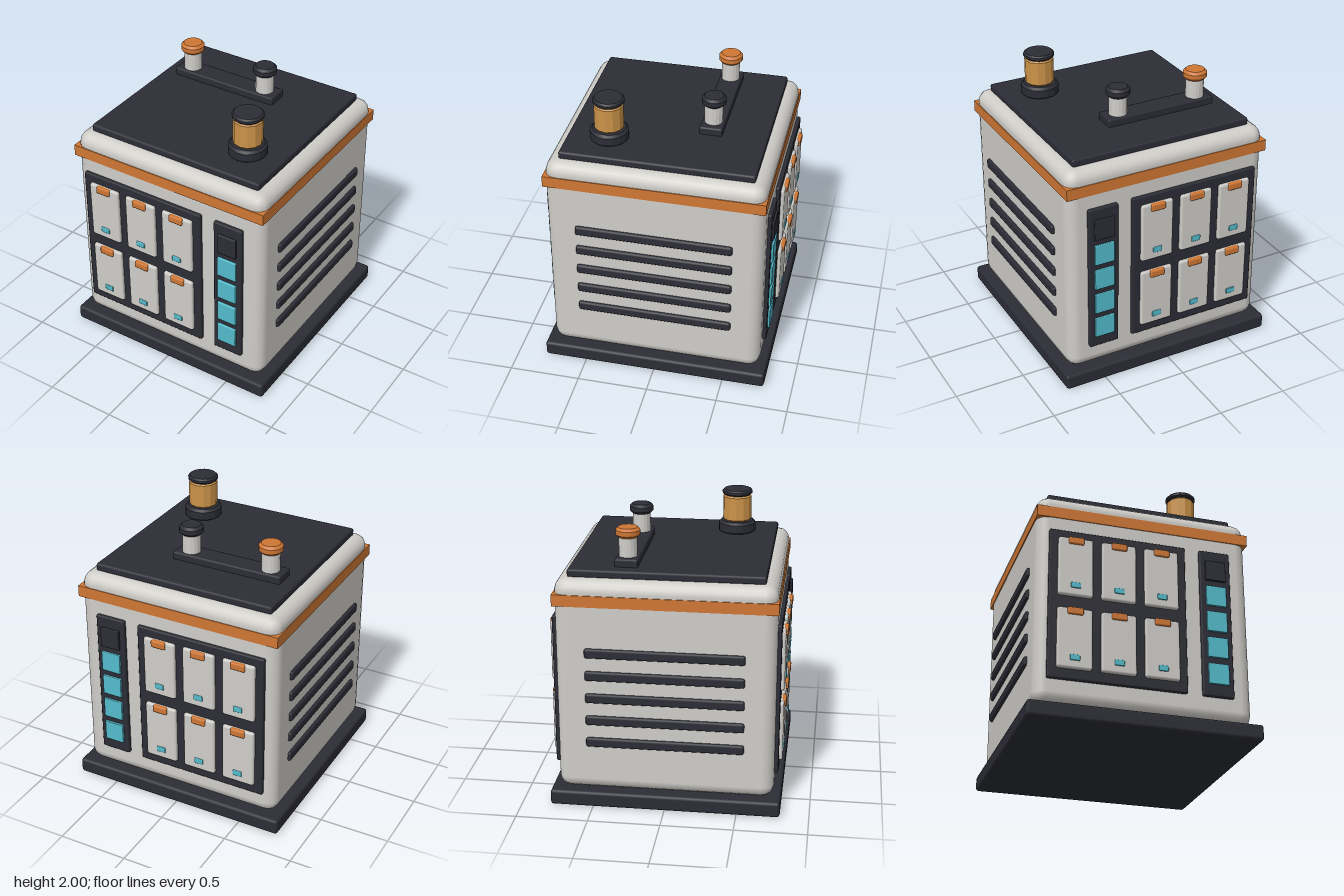
import * as THREE from 'three';
import { RoundedBoxGeometry } from 'three/addons/geometries/RoundedBoxGeometry.js';
import { toCreasedNormals } from 'three/addons/utils/BufferGeometryUtils.js';

const material = (name, color) => {
  const m = new THREE.MeshStandardMaterial({ color });
  m.name = name;
  return m;
};

export function createModel() {
  const shell = material('warm white', 0xd0cec9);
  const dark = material('charcoal', 0x2c2d36);
  const orange = material('orange', 0xcf7734);
  const cyan = material('cyan', 0x54bccc);
  const copper = material('copper', 0xcc9349);

  const model = new THREE.Group();
  model.name = 'powerUnit';

  // Bevelled box given by its limits on each axis
  function box(parent, name, mat, [x0, x1], [y0, y1], [z0, z1], bevel = 0.012, segments = 1) {
    const geometry = bevel
      ? new RoundedBoxGeometry(x1 - x0, y1 - y0, z1 - z0, segments, bevel)
      : new THREE.BoxGeometry(x1 - x0, y1 - y0, z1 - z0);
    const mesh = new THREE.Mesh(geometry, mat);
    mesh.name = name;
    mesh.position.set((x0 + x1) / 2, (y0 + y1) / 2, (z0 + z1) / 2);
    parent.add(mesh);
    return mesh;
  }

  // Upright bevelled cylinder
  function drum(name, mat, x, z, radius, y0, y1, bevel, sides = 16) {
    const profile = [
      [0, y0], [radius - bevel, y0], [radius, y0 + bevel],
      [radius, y1 - bevel], [radius - bevel, y1], [0, y1],
    ].map(([r, y]) => new THREE.Vector2(r, y));
    const geometry = toCreasedNormals(new THREE.LatheGeometry(profile, sides), 0.3);
    const mesh = new THREE.Mesh(geometry, mat);
    mesh.name = name;
    mesh.position.set(x, 0, z);
    model.add(mesh);
  }

  // Housing
  box(model, 'base', dark, [-0.8, 0.8], [0, 0.11], [-0.8, 0.8], 0.02);
  box(model, 'body', shell, [-0.75, 0.75], [0.11, 1.64], [-0.75, 0.75], 0.085, 2);
  box(model, 'trimBand', orange, [-0.756, 0.756], [1.46, 1.54], [-0.756, 0.756], 0);
  box(model, 'roofPlate', dark, [-0.665, 0.665], [1.635, 1.69], [-0.665, 0.665], 0.015);

  // Cell bay and charge gauge, the same on front and back
  for (const side of [1, -1]) {
    const face = new THREE.Group();
    face.name = side > 0 ? 'frontPanel' : 'backPanel';
    model.add(face);
    const depth = (a, b) => (side > 0 ? [a, b] : [-b, -a]);

    box(face, 'cellBay', dark, [-0.67, 0.285], [0.28, 1.36], depth(0.73, 0.776), 0.01);
    for (const bottom of [0.35, 0.87]) {
      for (const x of [-0.493, -0.193, 0.107]) {
        box(face, 'cell', shell, [x - 0.12, x + 0.12], [bottom, bottom + 0.43], depth(0.755, 0.8), 0.015);
        box(face, 'cellHandle', orange, [x - 0.054, x + 0.054], [bottom + 0.378, bottom + 0.43], depth(0.775, 0.813), 0.01);
        box(face, 'cellLight', cyan, [x - 0.034, x + 0.034], [bottom + 0.053, bottom + 0.094], depth(0.785, 0.808), 0.006);
      }
    }

    box(face, 'gaugeStrip', dark, [0.39, 0.61], [0.28, 1.36], depth(0.73, 0.776), 0.01);
    for (let i = 0; i < 5; i++) {
      const y = 0.363 + i * 0.192;
      box(face, 'gaugeSegment', i < 4 ? cyan : dark, [0.427, 0.573], [y, y + 0.15], depth(0.76, 0.792), 0.006);
    }
  }

  // Vent bars on both sides
  for (const side of [1, -1]) {
    for (let i = 0; i < 5; i++) {
      const y = 0.48 + i * 0.1635;
      const x = side > 0 ? [0.72, 0.772] : [-0.772, -0.72];
      box(model, 'ventBar', dark, x, [y - 0.034, y + 0.034], [-0.543, 0.543], 0.015);
    }
  }

  // Terminal rail with two capped posts
  box(model, 'terminalRail', dark, [-0.572, 0.24], [1.68, 1.743], [-0.358, -0.2], 0.012);
  for (const [x, capMat] of [[-0.467, orange], [0.133, dark]]) {
    drum('terminalPost', shell, x, -0.28, 0.064, 1.73, 1.885, 0.005);
    drum('terminalCap', capMat, x, -0.28, 0.084, 1.875, 1.943, 0.018);
  }

  // Coil
  drum('coilBase', dark, 0.405, 0.378, 0.133, 1.68, 1.772, 0.018);
  drum('coil', copper, 0.405, 0.378, 0.102, 1.765, 1.966, 0.018, 12);
  drum('coilCap', dark, 0.405, 0.378, 0.108, 1.96, 2, 0.012);

  return model;
}
